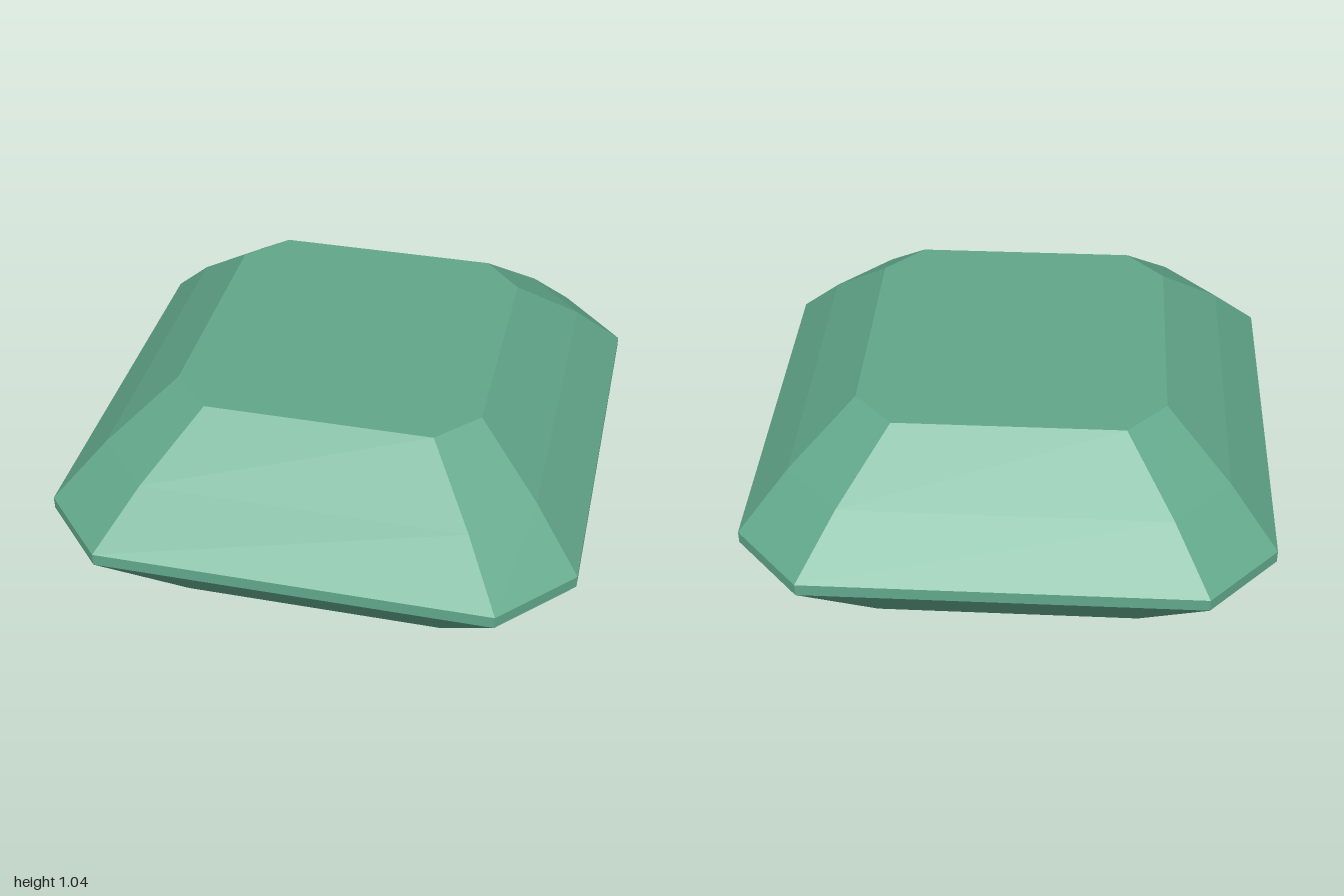
import * as THREE from 'three';

// Octagonal outline (x, z), anticlockwise seen from above
const OUTLINE = [
  [-0.667, 0.955], [0.667, 0.955], [0.898, 0.707], [0.898, -0.707],
  [0.667, -0.955], [-0.667, -0.955], [-0.898, -0.707], [-0.898, 0.707],
];

// Rings as [height, scale of the outline]; a scale of 0 closes the end
const PARTS = {
  culet: [[0, 0], [0, 0.222]],
  lowerPavilion: [[0, 0.222], [0.292, 0.682]],
  upperPavilion: [[0.292, 0.682], [0.63, 1]],
  girdle: [[0.63, 1], [0.673, 1]],
  lowerCrown: [[0.673, 1], [0.85, 0.82]],
  upperCrown: [[0.85, 0.82], [1.036, 0.579]],
  table: [[1.036, 0.579], [1.036, 0]],
};

// Band of flat facets between two rings
function facets([y0, s0], [y1, s1]) {
  const positions = [];
  OUTLINE.forEach(([ax, az], i) => {
    const [bx, bz] = OUTLINE[(i + 1) % OUTLINE.length];
    const a0 = [ax * s0, y0, az * s0], b0 = [bx * s0, y0, bz * s0];
    const a1 = [ax * s1, y1, az * s1], b1 = [bx * s1, y1, bz * s1];
    if (s0 > 0) positions.push(...a0, ...b0, ...b1);
    if (s1 > 0) positions.push(...a0, ...b1, ...a1);
  });
  const geometry = new THREE.BufferGeometry();
  geometry.setAttribute('position', new THREE.Float32BufferAttribute(positions, 3));
  geometry.computeVertexNormals();
  return geometry;
}

export function createModel() {
  const green = new THREE.MeshStandardMaterial({ color: 0x62a88b });
  green.name = 'gem green';
  green.flatShading = true;

  const gem = new THREE.Group();
  gem.name = 'gem';
  for (const [name, [lower, upper]] of Object.entries(PARTS)) {
    const mesh = new THREE.Mesh(facets(lower, upper), green);
    mesh.name = name;
    gem.add(mesh);
  }
  gem.rotation.y = 0.07; // slight turn of the whole stone

  const model = new THREE.Group();
  model.name = 'cutGem';
  model.add(gem);
  return model;
}
